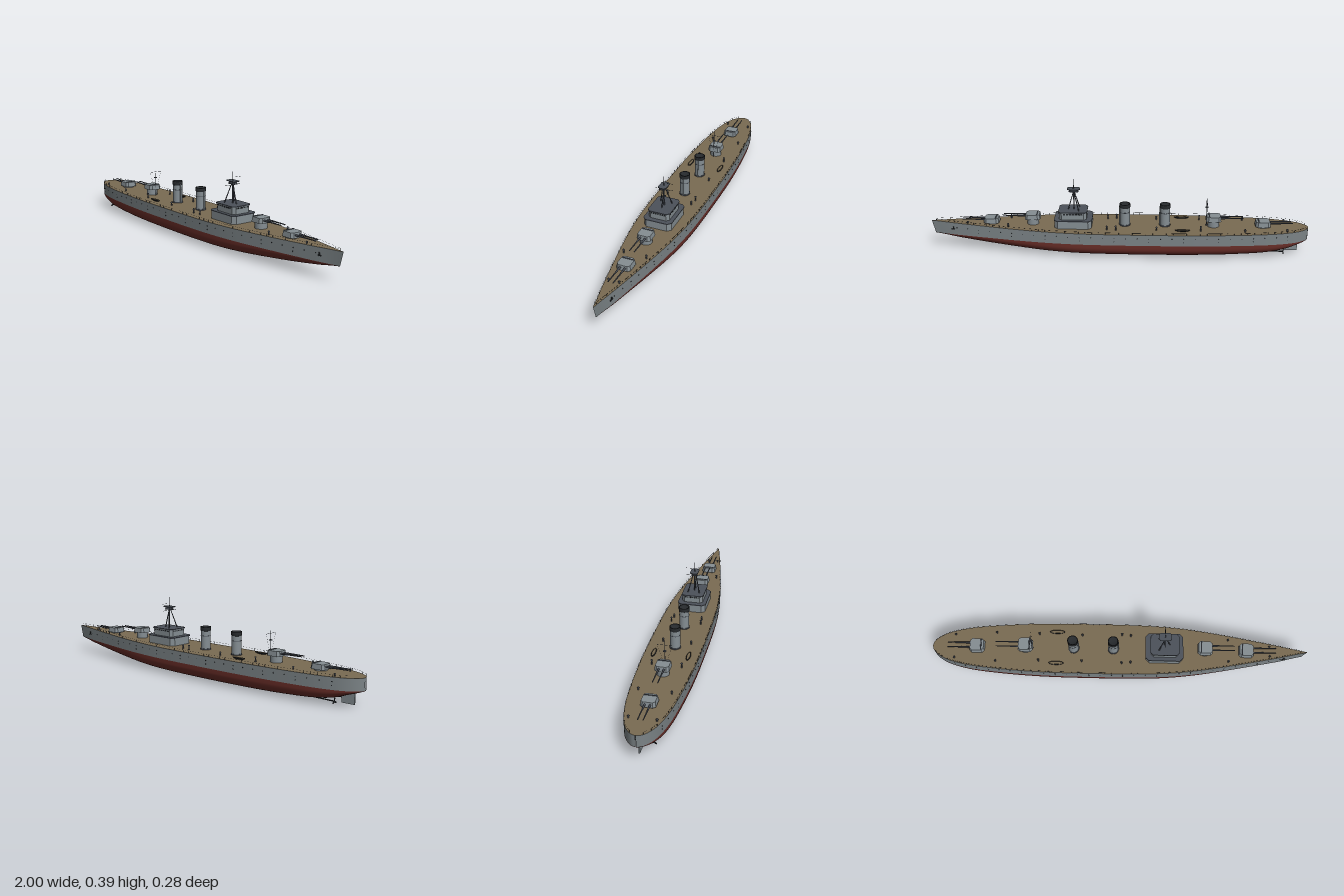
import * as THREE from 'three';
import { mergeGeometries } from 'three/addons/utils/BufferGeometryUtils.js';

const WATERLINE = 0.083;
const V = (x, y, z) => new THREE.Vector3(x, y, z);

// Hull stations: position along the ship, half beam, keel height
const STATIONS = [
  [-1, 0.001, 0.081], [-0.993, 0.022, 0.078], [-0.97, 0.046, 0.07], [-0.93, 0.07, 0.057], [-0.87, 0.09, 0.036],
  [-0.78, 0.108, 0.02], [-0.6, 0.126, 0.009], [-0.4, 0.137, 0.004], [-0.15, 0.14, 0.002], [0.1, 0.138, 0.003],
  [0.25, 0.131, 0.006], [0.4, 0.115, 0.012], [0.55, 0.091, 0.023], [0.7, 0.063, 0.038], [0.85, 0.033, 0.059],
  [0.95, 0.011, 0.075], [1, 0.001, 0.082],
];
const ribs = new THREE.CatmullRomCurve3(STATIONS.map(s => V(...s))).getPoints(80);
const sheer = x => 0.143 + 0.01 * Math.max(0, x) ** 2;
const rake = (x, y) => x - 0.25 * (sheer(x) - y) * THREE.MathUtils.smoothstep(x, 0.85, 1);

function beamAt(x) {
  const i = Math.max(1, ribs.findIndex(r => r.x >= x));
  const a = ribs[i - 1], b = ribs[i];
  return THREE.MathUtils.lerp(a.y, b.y, (x - a.x) / (b.x - a.x));
}

// Surface through equal-length rows of points
function loft(rows) {
  const n = rows[0].length, index = [];
  for (let i = 0; i < rows.length - 1; i++) {
    for (let j = 0; j < n - 1; j++) {
      const a = i * n + j, b = a + n;
      index.push(a, b, a + 1, b, b + 1, a + 1);
    }
  }
  const g = new THREE.BufferGeometry().setFromPoints(rows.flat());
  g.setIndex(index);
  g.computeVertexNormals();
  return g;
}

// Block with chamfered corners, standing on y = 0, narrowed at the top
function block(l, w, h, c, taper = 1) {
  const x = l / 2, z = w / 2;
  const pts = [[x, z - c], [x - c, z], [c - x, z], [-x, z - c], [-x, c - z], [c - x, -z], [x - c, -z], [x, c - z]];
  const g = new THREE.ExtrudeGeometry(new THREE.Shape(pts.map(p => new THREE.Vector2(...p))), { depth: h, bevelEnabled: false });
  g.rotateX(-Math.PI / 2);
  const p = g.attributes.position;
  for (let i = 0; i < p.count; i++) {
    if (p.getY(i) > h / 2) p.setXYZ(i, p.getX(i) * taper, p.getY(i), p.getZ(i) * taper);
  }
  g.computeVertexNormals();
  return g;
}

// Round bar between two points
function rod(a, b, r1, r2 = r1, sides = 6) {
  const d = b.clone().sub(a);
  const g = new THREE.CylinderGeometry(r2, r1, d.length(), sides);
  g.applyQuaternion(new THREE.Quaternion().setFromUnitVectors(V(0, 1, 0), d.normalize()));
  const m = a.clone().add(b).multiplyScalar(0.5);
  return g.translate(m.x, m.y, m.z);
}
const post = (x, z, y0, y1, r, r2 = r, sides = 20) => rod(V(x, y0, z), V(x, y1, z), r, r2, sides);

export function createModel() {
  const mat = (name, color, side = THREE.FrontSide) => {
    const m = new THREE.MeshStandardMaterial({ color, side });
    m.name = name;
    return m;
  };
  const hullGrey = mat('hull grey', 0x7b8386);
  const red = mat('antifouling red', 0x6c2f29);
  const wood = mat('deck planking', 0x7a6b52);
  const grey = mat('superstructure grey', 0x858e93);
  const roof = mat('roof grey', 0x4c515a);
  const dark = mat('dark fittings', 0x26292c, THREE.DoubleSide);

  const ship = new THREE.Group();
  ship.name = 'warship';
  const add = (name, material, ...geos) => {
    const mesh = new THREE.Mesh(geos.length > 1
      ? mergeGeometries(geos.map(g => (g.index ? g.toNonIndexed() : g))) : geos[0], material);
    mesh.name = name;
    ship.add(mesh);
    return mesh;
  };

  // Hull: rounded underbody, upright topsides and planked deck
  add('underbody', red, loft(ribs.map(({ x, y: beam, z: keel }) => {
    const p = THREE.MathUtils.lerp(0.72, 1.2, THREE.MathUtils.smoothstep(x, 0.2, 0.95));
    return Array.from({ length: 25 }, (_, j) => {
      const t = (j / 24 - 0.5) * Math.PI;
      const y = WATERLINE - (WATERLINE - keel) * Math.max(0, Math.cos(t)) ** p;
      return V(rake(x, y), y, Math.sign(t) * beam * Math.abs(Math.sin(t)) ** p);
    });
  })));
  for (const s of [1, -1]) {
    add(s > 0 ? 'frontTopside' : 'backTopside', hullGrey, loft(ribs.map(({ x, y: beam }) => {
      const row = [V(rake(x, WATERLINE), WATERLINE, s * beam), V(x, sheer(x), s * beam)];
      return s > 0 ? row : row.reverse();
    })));
  }
  add('deck', wood, loft(ribs.map(({ x, y: b }) => [V(x, sheer(x), b), V(x, sheer(x), -b)])));

  // Portholes, anchors and deck-edge railing on both sides
  const holes = [], rails = [], anchors = [];
  for (const s of [1, -1]) {
    for (let i = 0; i < 30; i++) {
      const x = -0.88 + i * 0.06;
      for (const y of i % 3 ? [0.122] : [0.122, 0.104]) {
        const z = s * beamAt(x);
        holes.push(rod(V(x, y, z - s * 0.003), V(x, y, z + s * 0.0015), 0.0025));
      }
    }
    const az = s * beamAt(0.88);
    anchors.push(rod(V(0.88, 0.112, az), V(0.88, 0.128, az + s * 0.002), 0.003),
      rod(V(0.872, 0.114, az + s * 0.002), V(0.89, 0.114, az), 0.003));
    let last = null;
    for (let i = 0; i <= 56; i++) {
      const x = -0.985 + i * 0.035;
      const top = V(x, sheer(x) + 0.011, s * (beamAt(x) - 0.002));
      rails.push(rod(V(x, sheer(x), top.z), top, 0.0007, 0.0007, 4));
      if (last) rails.push(rod(last, top, 0.0004, 0.0004, 3));
      last = top;
    }
  }
  add('portholes', dark, ...holes);
  add('anchors', dark, ...anchors);
  add('railing', dark, ...rails);

  // Rudder, propeller shafts and propellers
  add('rudder', grey, new THREE.BoxGeometry(0.07, 0.055, 0.006).translate(-0.915, 0.036, 0));
  const drive = [];
  for (const z of [-0.045, 0.045]) {
    drive.push(rod(V(-0.74, 0.022, z), V(-0.87, 0.02, z), 0.003));
    for (let k = 0; k < 3; k++) {
      drive.push(new THREE.BoxGeometry(0.003, 0.016, 0.007).translate(0, 0.008, 0)
        .rotateX(k * Math.PI * 2 / 3).translate(-0.87, 0.02, z));
    }
  }
  add('propellers', dark, ...drive);

  // Twin-gun turrets: position, base height and firing direction
  for (const [x, y, d] of [[-0.76, 0.15, -1], [-0.5, 0.176, -1], [0.455, 0.176, 1], [0.675, 0.152, 1]]) {
    add('barbette', grey, post(x, 0, 0.135, y, 0.031, 0.031, 24));
    add('gunHouse', grey, block(0.08, 0.074, 0.026, 0.012, 0.9).translate(x, y, 0));
    const guns = [];
    for (const z of [-0.0125, 0.0125]) {
      guns.push(rod(V(x + d * 0.03, y + 0.014, z), V(x + d * 0.08, y + 0.015, z), 0.005, 0.004, 10),
        rod(V(x + d * 0.08, y + 0.015, z), V(x + d * 0.157, y + 0.016, z), 0.0035, 0.0025, 10));
    }
    add('gunBarrels', roof, ...guns);
    add('rangefinder', roof, rod(V(x - d * 0.022, y + 0.026, -0.03), V(x - d * 0.022, y + 0.026, 0.03), 0.003, 0.003, 8));
  }

  // Funnels with dark caps and hollow tops
  for (const x of [-0.245, -0.033]) {
    add('funnel', grey, post(x, 0, 0.14, 0.244, 0.026, 0.026, 28));
    add('funnelCap', dark, new THREE.LatheGeometry([[0.026, 0.242], [0.028, 0.244], [0.028, 0.263], [0.024, 0.263],
      [0.023, 0.25], [0, 0.25]].map(p => new THREE.Vector2(...p)), 28).translate(x, 0, 0));
    add('funnelBand', roof, post(x, 0, 0.143, 0.149, 0.029), post(x, 0, 0.215, 0.218, 0.027));
    add('steamPipe', grey, post(x + 0.028, 0, 0.14, 0.25, 0.003, 0.003, 8));
  }

  // Stepped bridge with dark roofs and a row of windows
  const bx = 0.238;
  add('bridgeLower', grey, block(0.194, 0.148, 0.045, 0.018).translate(bx, 0.14, 0));
  add('bridgeLowerRoof', roof, block(0.2, 0.154, 0.004, 0.018).translate(bx, 0.184, 0));
  add('bridgeUpper', grey, block(0.145, 0.112, 0.038, 0.014).translate(bx + 0.002, 0.187, 0));
  add('bridgeUpperRoof', roof, block(0.152, 0.12, 0.004, 0.014).translate(bx + 0.002, 0.225, 0));
  const panes = [];
  for (const s of [-1, 1]) {
    for (let i = -3; i <= 3; i++) {
      panes.push(new THREE.BoxGeometry(0.002, 0.007, 0.008).translate(bx + 0.002 + s * 0.0726, 0.218, i * 0.0115),
        new THREE.BoxGeometry(0.011, 0.007, 0.002).translate(bx + i * 0.0155, 0.218, s * 0.0561));
    }
  }
  add('bridgeWindows', dark, ...panes);

  // Tripod foremast with spotting top and yards
  const mx = 0.236;
  add('tripodMast', roof,
    rod(V(mx - 0.028, 0.226, 0.032), V(mx, 0.332, 0.006), 0.003, 0.002),
    rod(V(mx - 0.028, 0.226, -0.032), V(mx, 0.332, -0.006), 0.003, 0.002),
    rod(V(mx + 0.03, 0.226, 0), V(mx, 0.332, 0), 0.003, 0.002),
    post(mx, 0, 0.226, 0.35, 0.003), post(mx, 0, 0.34, 0.395, 0.002, 0.0007, 8));
  add('spottingTop', roof, block(0.045, 0.024, 0.014, 0.005).translate(mx, 0.329, 0),
    block(0.05, 0.03, 0.003, 0.006).translate(mx, 0.327, 0), block(0.068, 0.044, 0.003, 0.01).translate(mx, 0.341, 0));
  add('foremastYards', dark, rod(V(mx, 0.322, -0.05), V(mx, 0.322, 0.05), 0.0009),
    rod(V(mx, 0.36, -0.05), V(mx, 0.36, -0.01), 0.0007));

  // Aft mast with yard and stays
  const ax = -0.464;
  add('aftMast', roof, post(ax, 0, 0.14, 0.305, 0.003, 0.001, 8),
    rod(V(ax, 0.28, -0.037), V(ax, 0.28, 0.037), 0.0009), block(0.014, 0.014, 0.004, 0.003).translate(ax, 0.245, 0));
  add('aftStays', dark, ...[-1, 1].map(s => rod(V(ax, 0.28, s * 0.037), V(ax, 0.2, s * 0.012), 0.0004, 0.0004, 3)));

  // Ship's boats on cradles
  for (const z of [-0.088, 0.088]) {
    const hull = new THREE.SphereGeometry(1, 20, 8, 0, Math.PI * 2, Math.PI / 2, Math.PI / 2).scale(0.04, 0.01, 0.011);
    add('boat', dark, hull).position.set(-0.335, 0.154, z);
    const floor = new THREE.CircleGeometry(1, 20).rotateX(-Math.PI / 2).scale(0.036, 1, 0.008);
    add('boatInterior', wood, floor).position.set(-0.335, 0.1545, z);
  }

  // Deck ventilators and light guns in mirrored pairs
  const fittings = [];
  for (const [x, z, h] of [[-0.88, 0.065, 0.012], [-0.66, 0.08, 0.014], [-0.43, 0.075, 0.026], [-0.2, 0.073, 0.018],
    [0.013, 0.08, 0.024], [0.06, 0.075, 0.02], [0.58, 0.06, 0.018], [0.8, 0.027, 0.01]]) {
    for (const s of [-1, 1]) {
      const y = sheer(x) + h;
      fittings.push(post(x, s * z, y - h, y, 0.004, 0.003, 8), post(x, s * z, y - 0.003, y + 0.002, 0.006, 0.004, 8));
    }
  }
  add('deckFittings', roof, ...fittings);
  return ship;
}
